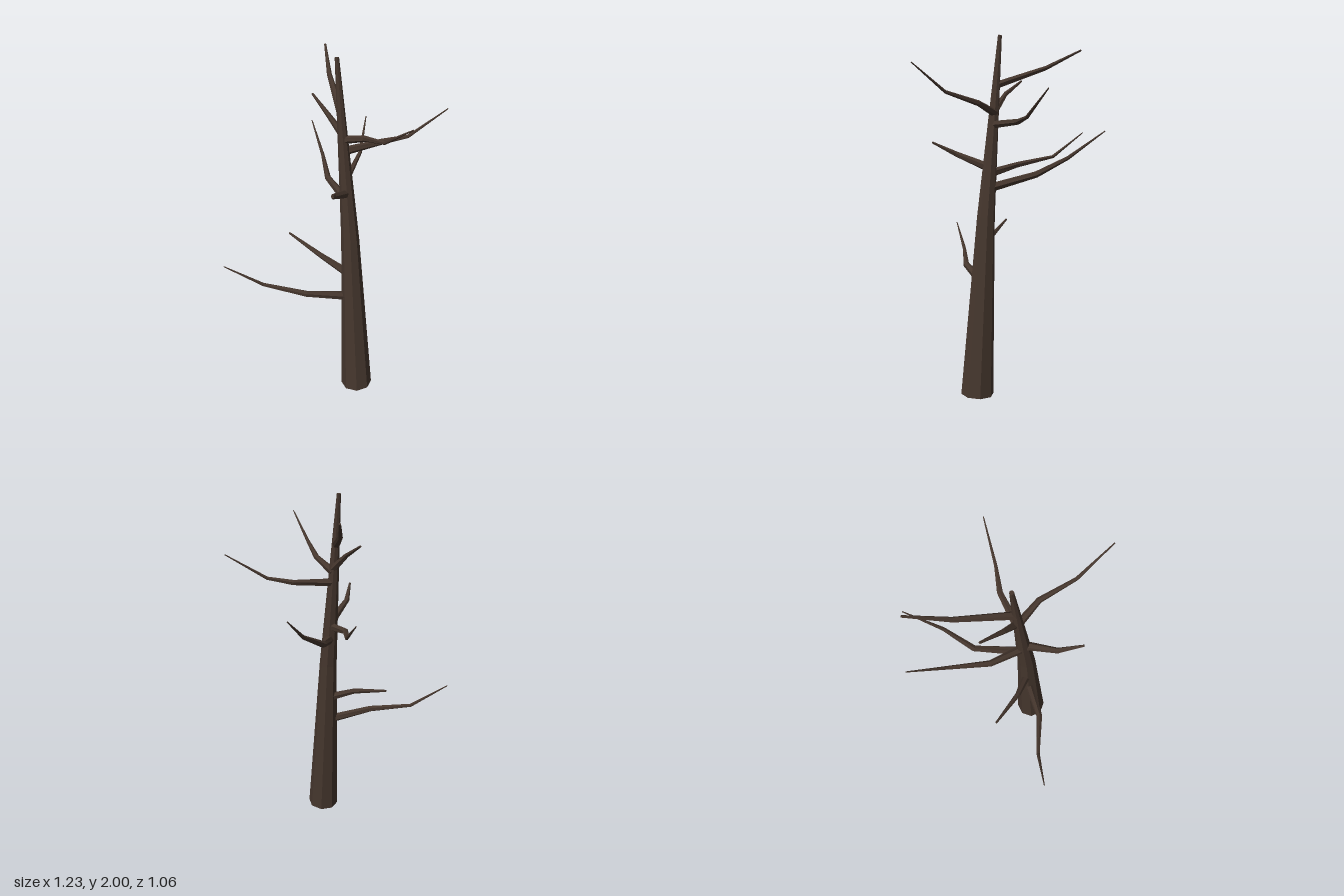
import * as THREE from 'three';

// Tapered limb: each point is [x, y, z, radius], with a closed ring at each
function limbGeometry(points, sides) {
  const centres = points.map(([x, y, z]) => new THREE.Vector3(x, y, z));
  const up = new THREE.Vector3(0, 1, 0);
  const last = points.length - 1;
  const positions = [], index = [];

  centres.forEach((c, i) => {
    const tangent = new THREE.Vector3();
    if (i > 0) tangent.add(c.clone().sub(centres[i - 1]).normalize());
    if (i < last) tangent.add(centres[i + 1].clone().sub(c).normalize());
    const turn = new THREE.Quaternion().setFromUnitVectors(up, tangent.normalize());
    for (let j = 0; j < sides; j++) {
      const a = (j / sides) * Math.PI * 2;
      const v = new THREE.Vector3(Math.cos(a), 0, Math.sin(a));
      v.multiplyScalar(points[i][3]).applyQuaternion(turn).add(c);
      positions.push(v.x, v.y, v.z);
    }
  });
  const bottom = positions.length / 3, top = bottom + 1;
  positions.push(...centres[0].toArray(), ...centres[last].toArray());

  for (let j = 0; j < sides; j++) {
    const k = (j + 1) % sides;
    for (let i = 0; i < last; i++) {
      const a = i * sides, b = a + sides;
      index.push(a + j, b + j, a + k, a + k, b + j, b + k);
    }
    index.push(bottom, j, k, top, last * sides + k, last * sides + j);
  }
  const geometry = new THREE.BufferGeometry();
  geometry.setAttribute('position', new THREE.Float32BufferAttribute(positions, 3));
  geometry.setIndex(index);
  geometry.computeVertexNormals();
  return geometry;
}

export function createModel() {
  const bark = new THREE.MeshStandardMaterial({ color: 0x45362d });
  bark.name = 'darkBark';
  bark.flatShading = true;

  const tree = new THREE.Group();
  tree.name = 'bareTree';
  const add = (name, points, sides) => {
    const mesh = new THREE.Mesh(limbGeometry(points, sides), bark);
    mesh.name = name;
    tree.add(mesh);
  };

  // Leaning trunk, slightly bent at mid height
  add('trunk', [
    [0.142, 0.007, 0.177, 0.092],
    [0.093, 1.01, 0.115, 0.05],
    [0.017, 2, 0.02, 0.011],
  ], 8);

  // Branches: start radius, then path from trunk to tip
  const branches = {
    lowRightBranch: [0.026, [0.09, 0.635, 0.135], [-0.155, 0.69, 0.19], [-0.4, 0.738, 0.165], [-0.612, 0.872, 0.181]],
    shortRightBranch: [0.025, [0.09, 0.785, 0.13], [-0.07, 0.865, 0.06], [-0.257, 0.937, -0.074]],
    frontBranch: [0.025, [0.07, 1.28, 0.09], [0.0, 1.355, 0.265], [-0.005, 1.42, 0.396]],
    backLeftBranch: [0.026, [0.08, 1.17, 0.09], [0.08, 1.24, -0.175], [0.16, 1.335, -0.333], [0.2, 1.482, -0.53]],
    backRightBranch: [0.024, [0.06, 1.25, 0.08], [-0.03, 1.288, -0.09], [-0.06, 1.33, -0.31], [-0.125, 1.465, -0.51]],
    leftBranch: [0.023, [0.06, 1.517, 0.06], [0.26, 1.533, -0.025], [0.4, 1.557, -0.04], [0.61, 1.692, -0.093]],
    frontLeftBranch: [0.022, [0.05, 1.575, 0.05], [0.16, 1.63, 0.165], [0.24, 1.685, 0.35], [0.35, 1.822, 0.528]],
    twigBranch: [0.021, [0.05, 1.6, 0.05], [-0.025, 1.685, -0.02], [-0.11, 1.762, -0.132]],
    upperBackBranch: [0.021, [0.035, 1.73, 0.045], [-0.02, 1.83, -0.25], [-0.043, 1.935, -0.465]],
  };
  for (const [name, [radius, ...path]] of Object.entries(branches)) {
    const tip = path.length === 3 ? 0.006 : 0.003;
    add(name, path.map((p, i) => [...p, THREE.MathUtils.lerp(radius, tip, i / (path.length - 1))]), 6);
  }
  return tree;
}
